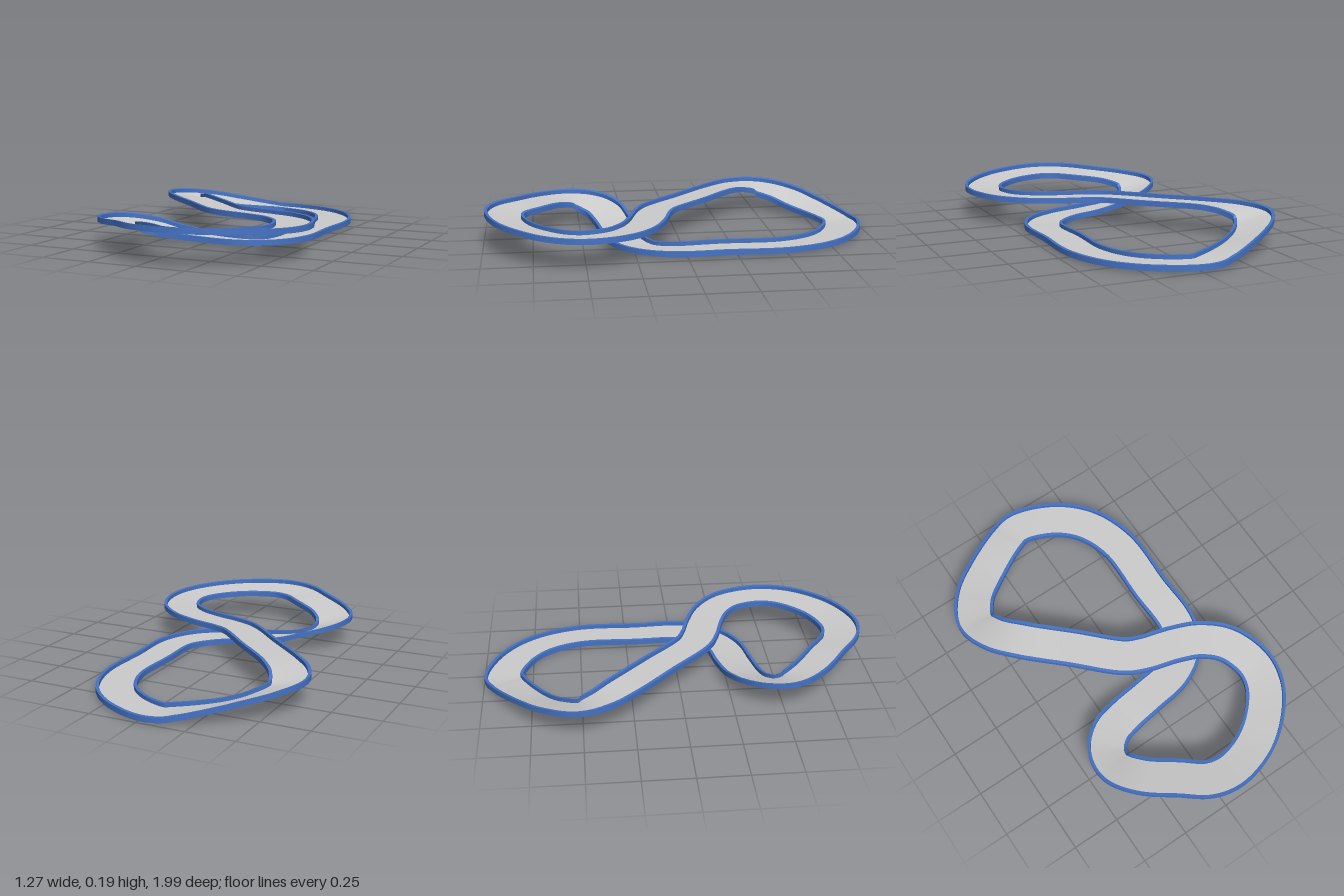
import * as THREE from 'three';

const WIDTH = 0.2, RAIL_W = 0.016, RAIL_H = 0.027, DECK_H = 0.007, STEPS = 330;

// centre line: x, z, height of left edge, height of right edge
const PATH = [
  [0.36, 0.06, 0.006, 0.01], [0.36, -0.2, 0.01, 0.01], [0.36, -0.5, 0.01, 0.01],
  [0.285, -0.7, 0.01, 0.01], [0.15, -0.83, 0.01, 0.01], [-0.04, -0.9, 0.01, 0.01],
  [-0.13, -0.875, 0.015, 0.022], [-0.33, -0.76, 0.03, 0.07], [-0.465, -0.65, 0.06, 0.105],
  [-0.535, -0.52, 0.085, 0.124], [-0.5, -0.41, 0.11, 0.13], [-0.4, -0.29, 0.13, 0.13],
  [-0.2, -0.1, 0.13, 0.13], [0, 0.09, 0.13, 0.13], [0.09, 0.133, 0.13, 0.13],
  [0.25, 0.18, 0.13, 0.13], [0.375, 0.235, 0.132, 0.13], [0.48, 0.335, 0.135, 0.128],
  [0.53, 0.5, 0.137, 0.126], [0.5, 0.63, 0.142, 0.126], [0.4, 0.755, 0.15, 0.127],
  [0.27, 0.845, 0.155, 0.127], [0.1, 0.89, 0.16, 0.127], [-0.02, 0.865, 0.158, 0.125],
  [-0.14, 0.775, 0.15, 0.12], [-0.29, 0.655, 0.135, 0.105], [-0.365, 0.54, 0.125, 0.08],
  [-0.35, 0.445, 0.115, 0.06], [-0.275, 0.37, 0.09, 0.045], [-0.16, 0.332, 0.05, 0.03],
  [0, 0.305, 0.02, 0.02], [0.17, 0.275, 0.008, 0.012], [0.29, 0.2, 0.001, 0.01],
];

// left and right lower edges of the track at every step
function trackEdges() {
  const centre = new THREE.CatmullRomCurve3(PATH.map(p => new THREE.Vector3(p[0], 0, p[1])), true);
  const heights = new THREE.CatmullRomCurve3(PATH.map(p => new THREE.Vector3(p[2], p[3], 0)), true, 'catmullrom', 0.5);
  const edges = [];
  for (let i = 0; i < STEPS; i++) {
    const t = i / STEPS, c = centre.getPoint(t), d = centre.getTangent(t), h = heights.getPoint(t);
    const left = new THREE.Vector3(d.z, 0, -d.x).multiplyScalar(WIDTH / 2);
    const l = c.clone().add(left), r = c.clone().sub(left);
    l.y = Math.max(0, h.x);
    r.y = Math.max(0, h.y);
    edges.push([l, r]);
  }
  return edges;
}

// sweeps a profile of [across 0..1, up] points round the loop, with a sharp edge at each point
function sweep(name, edges, profile, material) {
  const pos = [], index = [], p = new THREE.Vector3();
  for (let k = 0; k < profile.length - 1; k++) {
    const base = pos.length / 3;
    edges.forEach(([l, r], i) => {
      for (const [s, v] of [profile[k], profile[k + 1]]) {
        p.lerpVectors(l, r, s);
        pos.push(p.x, p.y + v, p.z);
      }
      const a = base + 2 * i, b = base + 2 * ((i + 1) % STEPS);
      index.push(a, a + 1, b + 1, a, b + 1, b);
    });
  }
  const geo = new THREE.BufferGeometry();
  geo.setAttribute('position', new THREE.Float32BufferAttribute(pos, 3));
  geo.setIndex(index);
  geo.computeVertexNormals();
  const mesh = new THREE.Mesh(geo, material);
  mesh.name = name;
  return mesh;
}

export function createModel() {
  const group = new THREE.Group();
  group.name = 'raceTrack';
  const grey = new THREE.MeshStandardMaterial({ color: 0xcccccc });
  const blue = new THREE.MeshStandardMaterial({ color: 0x4472c4 });
  const edges = trackEdges(), w = RAIL_W / WIDTH;

  // road surface and underside
  group.add(sweep('roadSurface', edges, [[w, DECK_H], [1 - w, DECK_H]], grey));
  group.add(sweep('underside', edges, [[1, 0], [0, 0]], grey));

  // side rails
  group.add(sweep('leftRail', edges, [[0, 0], [0, RAIL_H], [w, RAIL_H], [w, DECK_H]], blue));
  group.add(sweep('rightRail', edges, [[1 - w, DECK_H], [1 - w, RAIL_H], [1, RAIL_H], [1, 0]], blue));
  return group;
}
